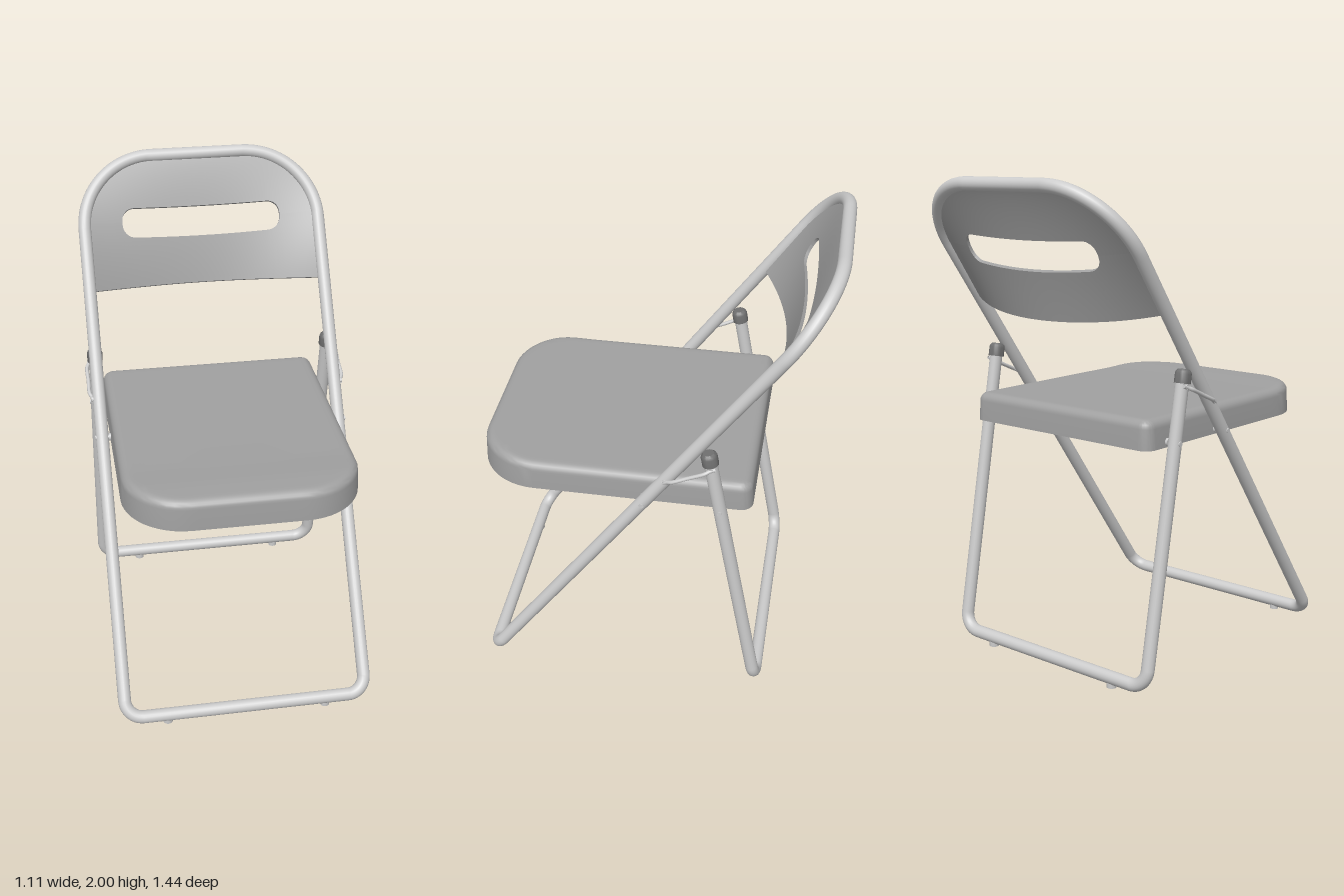
import * as THREE from 'three';
import { toCreasedNormals } from 'three/addons/utils/BufferGeometryUtils.js';

const paint = (color) => new THREE.MeshStandardMaterial({ color, side: THREE.DoubleSide });
const steel = paint(0xcccccc);
const plastic = paint(0xa0a0a0);   // seat and back panel
const rubber = paint(0x707070);    // end caps
const { PI, sin, cos, abs, sqrt } = Math;
const R = 0.027;      // tube radius
const HALF = 0.51;    // tube centre to the middle of the chair
const TILT = Math.atan2(0.69, 0.9675);
const TOP = 1.19;     // half the length of the front frame

function add(parent, name, geometry, material, position = [0, 0, 0]) {
  const mesh = new THREE.Mesh(geometry, material);
  mesh.name = name;
  mesh.position.set(...position);
  parent.add(mesh);
  return mesh;
}

// Surface through a list of closed rings; joins last ring to first if loop is set
function skin(rings, loop = false) {
  const n = rings[0].length, index = [];
  const count = loop ? rings.length : rings.length - 1;
  for (let i = 0; i < count; i++) {
    for (let j = 0; j < n; j++) {
      const k = (i + 1) % rings.length, m = (j + 1) % n;
      const a = i * n + j, b = i * n + m, c = k * n + m, d = k * n + j;
      index.push(a, c, b, a, d, c);
    }
  }
  const g = new THREE.BufferGeometry();
  g.setAttribute('position', new THREE.Float32BufferAttribute(rings.flat(2), 3));
  g.setIndex(index);
  g.computeVertexNormals();
  return g;
}

function arc(cx, cy, r, a0, a1, n) {
  return Array.from({ length: n + 1 }, (_, i) => {
    const a = a0 + (a1 - a0) * i / n;
    return [cx + r * cos(a), cy + r * sin(a)];
  });
}

// Round tube along a path in the xy plane
function bentTube(path, closed) {
  const n = path.length;
  const rings = path.map(([x, y], i) => {
    const p = path[closed ? (i + n - 1) % n : Math.max(i - 1, 0)];
    const q = path[closed ? (i + 1) % n : Math.min(i + 1, n - 1)];
    const t = new THREE.Vector2(q[0] - p[0], q[1] - p[1]).normalize();
    return Array.from({ length: 20 }, (_, j) => {
      const a = j / 20 * 2 * PI;
      return [x - t.y * R * cos(a), y + t.x * R * cos(a), -R * sin(a)];
    });
  });
  return skin(rings, closed);
}

// Seat outline, shrunk by an inset; large front corners, small back ones
function seatOutline(inset, y, scale = 1) {
  const f = 0.25, b = 0.05, w = 0.475, front = 0.715, back = -0.425, mid = 0.145;
  const corners = [
    arc(w - f, front - f, f - inset, 0, PI / 2, 12),
    arc(f - w, front - f, f - inset, PI / 2, PI, 12),
    arc(b - w, back + b, b - inset, PI, 1.5 * PI, 12),
    arc(w - b, back + b, b - inset, 1.5 * PI, 2 * PI, 12),
  ];
  const points = [];
  corners.forEach((corner, i) => {
    const p = corner[12], q = corners[(i + 1) % 4][0];
    points.push(...corner);
    for (let k = 1; k < 16; k++) points.push([0, 1].map((c) => p[c] + (q[c] - p[c]) * k / 16));
  });
  return points.map(([x, z0]) => {
    // the front edge stands a little higher than the rest
    const z = mid + (z0 - mid) * scale;
    const dip = y > 1 ? 0.008 * (1 - THREE.MathUtils.smoothstep(z, 0.42, 0.6)) : 0;
    return [x * scale, y - dip, z];
  });
}

// Thin pressed shell, open underneath
function seatGeometry() {
  const scales = [0, 0.3, 0.6];
  for (let k = 1; k < 10; k++) scales.push(0.6 + 0.04 * k);
  const rings = scales.map((s) => seatOutline(0.046, 1.088, s));
  rings.push(seatOutline(0.046, 1.088), seatOutline(0.018, 1.065));
  rings.push(seatOutline(0.012, 0.974), seatOutline(0, 0.974), seatOutline(0.004, 1.065));
  for (let k = 1; k <= 6; k++) {
    const a = k / 6 * PI / 2;
    rings.push(seatOutline(0.041 - 0.037 * cos(a), 1.065 + 0.035 * sin(a)));
  }
  rings.push(...scales.reverse().map((s) => seatOutline(0.041, 1.1, s)));
  return toCreasedNormals(skin(rings), 0.8);
}

// Back panel in the frame plane, bowed backwards towards its lower edge
const W = 0.505, SLOT = 0.345, SLOT_R = 0.053, SLOT_MID = 0.905, SLOT_H = 0.062;
const panelBottom = (x) => 0.607 + 0.043 * (1 - (x / W) ** 2);
const panelTop = (x) => (abs(x) < 0.2 ? TOP : TOP - 0.31 + sqrt(0.31 ** 2 - (abs(x) - 0.2) ** 2));
const bow = (x, s) => 0.145 * (1 - (x / W) ** 2) * (Math.max(0, TOP - s) / 0.54) ** 1.35;
function slotHalf(x) {
  const d = abs(x) - (SLOT - SLOT_R);
  if (d < 0) return SLOT_H;
  return d <= SLOT_R + 1e-6 ? SLOT_H - SLOT_R + sqrt(Math.max(0, SLOT_R ** 2 - d * d)) : 0;
}
function panelBand(low, high) {
  const xs = [];
  for (let i = 0; i <= 48; i++) xs.push(W * sin((i / 48 - 0.5) * PI));
  for (const side of [-1, 1]) {
    for (let k = 0; k <= 8; k++) xs.push(side * (SLOT - SLOT_R + SLOT_R * sin(k / 8 * PI / 2)));
    xs.push(side * (SLOT + 0.001));
  }
  xs.sort((a, b) => a - b);
  const rings = xs.map((x) => {
    const edge = (dz) => Array.from({ length: 11 }, (_, k) => {
      const s = low(x) + (high(x) - low(x)) * k / 10;
      return [x, s, dz - bow(x, s)];
    });
    return [...edge(0.007), ...edge(-0.007).reverse()];
  });
  return toCreasedNormals(skin(rings), 0.7);
}

export function createModel() {
  const chair = new THREE.Group();
  chair.name = 'foldingChair';

  // Front frame: one closed loop leaning back, carrying the back panel
  const front = new THREE.Group();
  front.name = 'frontFrame';
  front.position.y = 1.006;
  front.rotation.x = -TILT;
  chair.add(front);
  const r = 0.31, c = 0.075;
  add(front, 'frontFrameTube', bentTube([
    ...arc(HALF - r, TOP - r, r, 0, PI / 2, 20),
    ...arc(r - HALF, TOP - r, r, PI / 2, PI, 20),
    ...arc(c - HALF, c - TOP, c, PI, 1.5 * PI, 12),
    ...arc(HALF - c, c - TOP, c, 1.5 * PI, 2 * PI, 12),
  ], true), steel);
  add(front, 'backPanelLower', panelBand(panelBottom, (x) => SLOT_MID - slotHalf(x)), plastic);
  add(front, 'backPanelUpper', panelBand((x) => SLOT_MID + slotHalf(x), panelTop), plastic);

  // Rear frame: a U with capped ends
  const rear = new THREE.Group();
  rear.name = 'rearFrame';
  rear.position.set(0, 0.04, -0.475);
  rear.rotation.x = Math.atan2(0.22, 1.205);
  chair.add(rear);
  add(rear, 'rearFrameTube', bentTube([
    [-HALF, 1.23], ...arc(c - HALF, c, c, PI, 1.5 * PI, 12),
    ...arc(HALF - c, c, c, 1.5 * PI, 2 * PI, 12), [HALF, 1.23],
  ], false), steel);

  add(chair, 'seat', seatGeometry(), plastic);

  for (const side of [-1, 1]) {
    // End caps
    const cap = [[0.027, 0], [0.033, 0], [0.033, 0.038], [0.03, 0.047], [0.022, 0.055], [0, 0.055]];
    const profile = cap.map(([x, y]) => new THREE.Vector2(x, y));
    add(rear, 'endCap', toCreasedNormals(new THREE.LatheGeometry(profile, 24), 0.6), rubber, [side * HALF, 1.203, 0]);

    // Feet
    for (const z of [0.69, -0.475]) {
      add(chair, 'foot', new THREE.CylinderGeometry(0.02, 0.02, 0.03, 16), steel, [side * 0.335, 0.015, z]);
    }

    // Seat pivots and link rivets
    const pin = (name, x, y, z, radius, length) => {
      add(chair, name, new THREE.CylinderGeometry(radius, radius, length, 16), steel, [side * x, y, z]).rotation.z = PI / 2;
    };
    for (const [y, z] of [[0.995, 0.01], [0.995, -0.302]]) {
      pin('seatPivot', 0.498, y, z, 0.01, 0.084);
      pin('pivotWasher', 0.479, y, z, 0.016, 0.01);
      pin('pivotHeadInside', 0.458, y, z, 0.014, 0.012);
    }
    pin('linkRivet', 0.527, 1.13, -0.085, 0.01, 0.03);
    pin('linkRivet', 0.527, 1.212, -0.265, 0.01, 0.03);

    // Folding link, bent outward between the two frames
    const points = [[0.534, 1.125, -0.075], [0.538, 1.133, -0.093], [0.547, 1.142, -0.112],
      [0.547, 1.17, -0.175], [0.547, 1.2, -0.24], [0.538, 1.209, -0.26], [0.534, 1.216, -0.28]];
    const path = new THREE.CatmullRomCurve3(points.map(([x, y, z]) => new THREE.Vector3(side * x, y, z)));
    add(chair, 'foldingLink', new THREE.TubeGeometry(path, 40, 0.008, 10), steel);
  }
  return chair;
}
